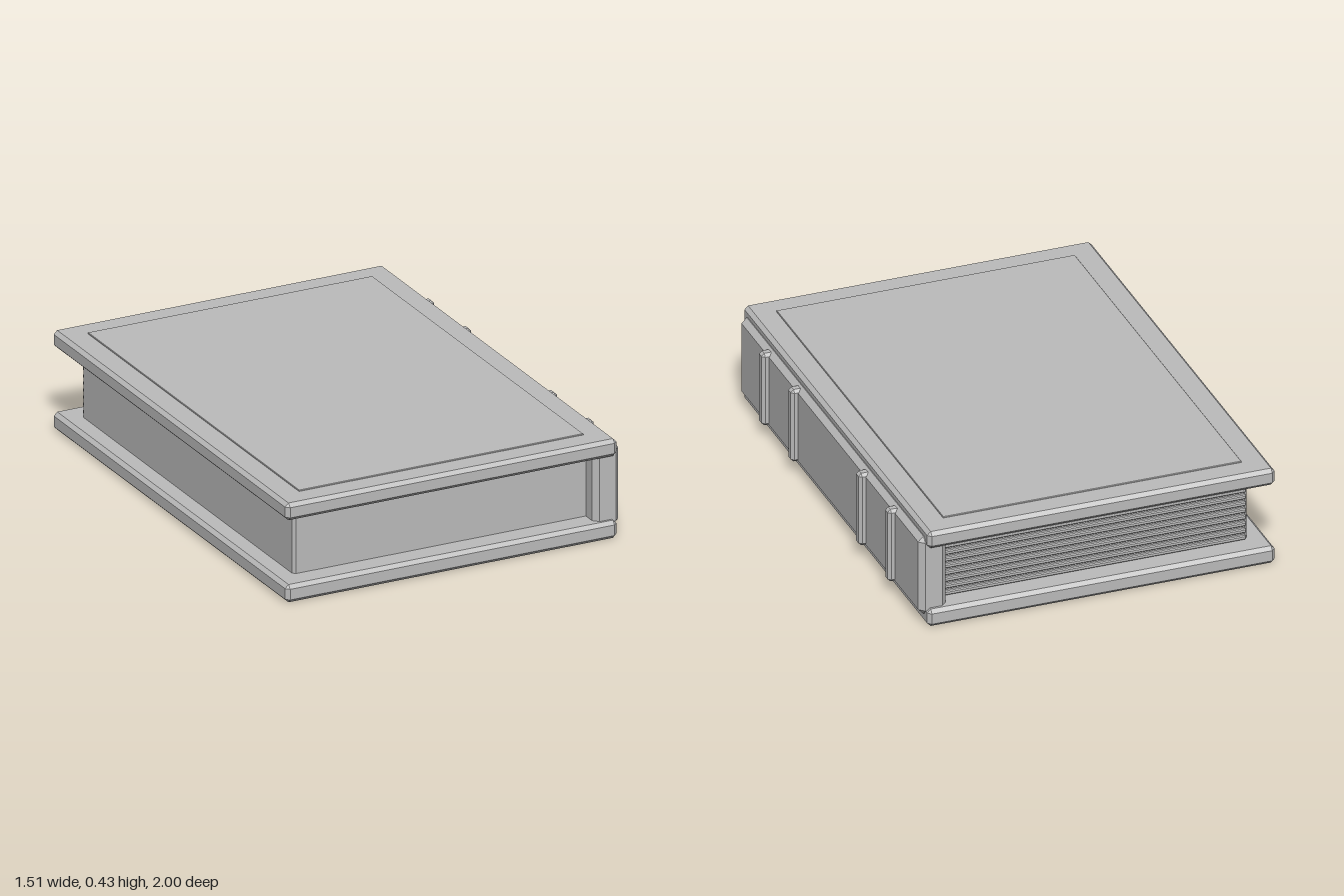
import * as THREE from 'three';
import { ConvexGeometry } from 'three/addons/geometries/ConvexGeometry.js';

// Box with flat bevels on every edge, given by its min and max corners
function bevelBox(min, max, bevel) {
  const points = [];
  for (let face = 0; face < 3; face++) {
    for (let corner = 0; corner < 8; corner++) {
      const p = [0, 1, 2].map((axis) => {
        const inset = axis === face ? 0 : bevel;
        return (corner >> axis) & 1 ? max[axis] - inset : min[axis] + inset;
      });
      points.push(new THREE.Vector3(...p));
    }
  }
  return new ConvexGeometry(points);
}

export function createModel() {
  const book = new THREE.Group();
  book.name = 'book';
  const grey = new THREE.MeshStandardMaterial({ color: 0xbcbcbc });
  grey.name = 'grey';

  function add(name, min, max, bevel) {
    const mesh = new THREE.Mesh(bevelBox(min, max, bevel), grey);
    mesh.name = name;
    book.add(mesh);
  }

  // Two boards and the raised panel on the upper one
  add('bottomCover', [-0.755, 0, -1], [0.7, 0.075, 1], 0.015);
  add('topCover', [-0.755, 0.347, -1], [0.7, 0.42, 1], 0.015);
  add('coverPanel', [-0.65, 0.41, -0.9], [0.6, 0.425, 0.9], 0.002);

  // Page block
  add('pages', [-0.675, 0.05, -0.9], [0.625, 0.335, 0.9], 0.012);

  // Page layers standing out at the back end
  const layers = 8;
  for (let i = 0; i < layers; i++) {
    const y = 0.09 + i * 0.03;
    add('pageLayer', [-0.665, y - 0.009, -0.915], [0.615, y + 0.009, -0.88], 0.004);
  }

  // Spine
  add('spine', [0.61, 0.042, -0.975], [0.725, 0.387, 0.975], 0.022);

  // Raised bands across the spine, mirrored in z
  for (const z of [-0.68, -0.365, 0.365, 0.68]) {
    add('spineBand', [0.7, 0.06, z - 0.024], [0.752, 0.38, z + 0.024], 0.012);
  }
  return book;
}
